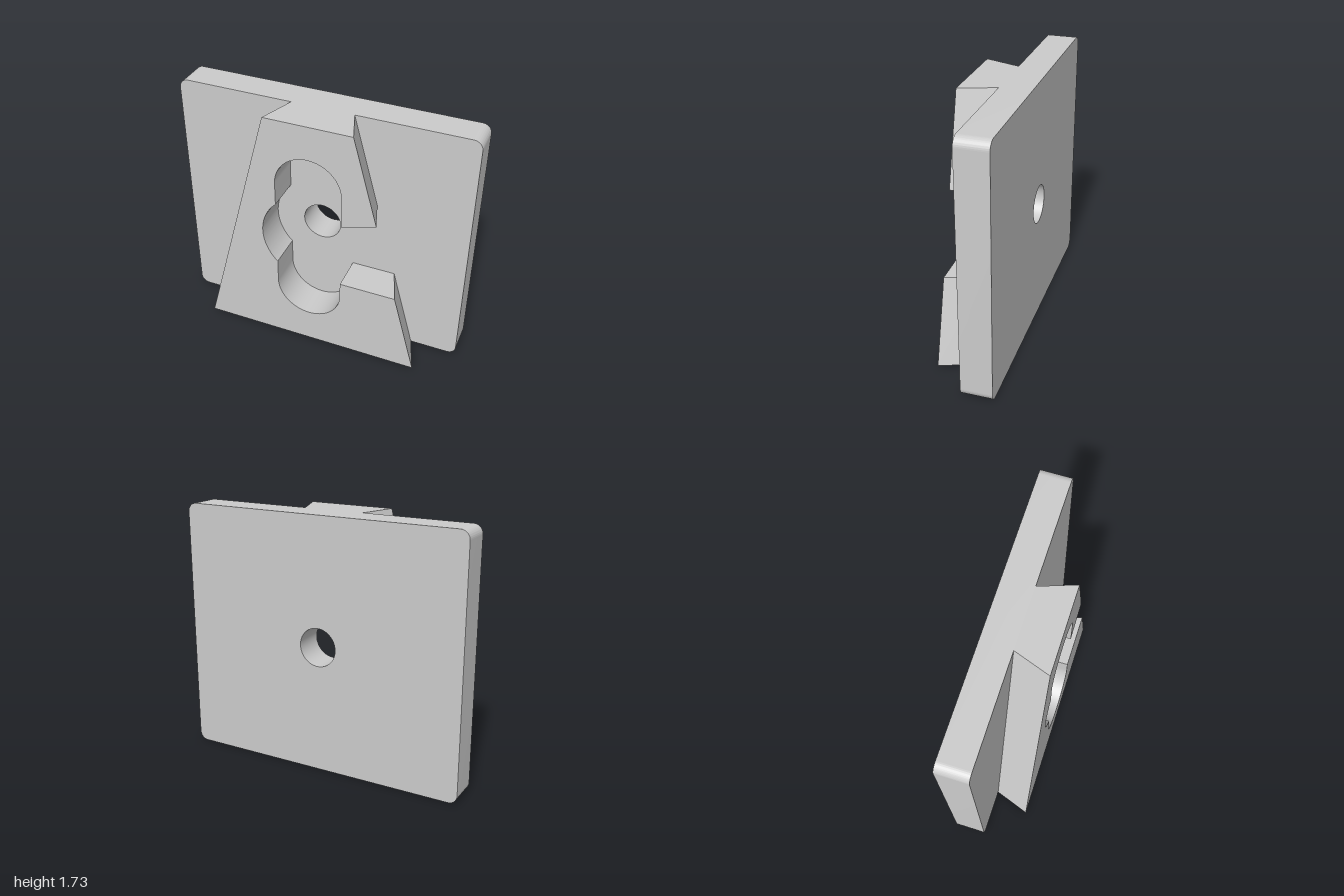
import * as THREE from 'three';
import { toCreasedNormals } from 'three/addons/utils/BufferGeometryUtils.js';

const H = 1.73, CY = 0.868;        // overall height, centre of the bore
const BACK = -0.225, SEAM = -0.016, FRONT = 0.225;
const SLOPE = (0.765 - 0.295) / H; // taper of the dovetail
const edgeX = (y) => 0.765 - SLOPE * y;
const UNDERCUT = 0.085;

function extrude(shape, z0, z1) {
  const geo = new THREE.ExtrudeGeometry(shape, { depth: z1 - z0, bevelEnabled: false, curveSegments: 32 });
  return geo.translate(0, 0, z0);
}

function addMesh(group, name, geo) {
  const material = new THREE.MeshStandardMaterial({ color: 0xcccccc });
  const mesh = new THREE.Mesh(toCreasedNormals(geo, 0.5), material);
  mesh.name = name;
  group.add(mesh);
}

// Rounded plate with a round through hole
function plateGeometry() {
  const r = 0.06, s = new THREE.Shape();
  s.absarc(1 - r, r, r, -Math.PI / 2, 0, false);
  s.absarc(1 - r, H - r, r, 0, Math.PI / 2, false);
  s.absarc(-1 + r, H - r, r, Math.PI / 2, Math.PI, false);
  s.absarc(-1 + r, r, r, Math.PI, Math.PI * 1.5, false);
  s.closePath();
  const hole = new THREE.Path();
  hole.absarc(0, CY, 0.13, 0, Math.PI * 2, true);
  s.holes.push(hole);
  return extrude(s, BACK, SEAM);
}

// Tapered C-shaped dovetail, open on its left side
function dovetailGeometry() {
  const w = 0.226, R = 0.327, a = Math.acos(w / R), tipY = 1.125;
  const s = new THREE.Shape();
  s.moveTo(-edgeX(0), 0);
  s.lineTo(edgeX(0), 0);
  s.lineTo(edgeX(0.578), 0.578);
  s.lineTo(w, 0.578);
  s.absarc(0, 0.467, w, 0, -Math.PI, true);              // lower slot end
  s.absarc(0, CY, R, Math.PI + a, Math.PI - a, true);    // round side recess
  s.absarc(0, 1.27, w, Math.PI, 0, true);                // upper slot end
  s.lineTo(w, 1.055);
  s.lineTo(edgeX(tipY), tipY);
  s.lineTo(edgeX(H), H);
  s.lineTo(-edgeX(H), H);
  s.closePath();
  const geo = extrude(s, SEAM, FRONT);

  // Undercut: draw the rear corners of the slanted flanks inward
  const p = geo.attributes.position;
  for (let i = 0; i < p.count; i++) {
    const x = p.getX(i), y = p.getY(i);
    if (p.getZ(i) > 0 || Math.abs(Math.abs(x) - edgeX(y)) > 1e-4) continue;
    const isTip = Math.abs(y - tipY) < 1e-4;             // slides along its slanted end
    p.setX(i, x - Math.sign(x) * (isTip ? 0.078 : UNDERCUT));
    if (isTip) p.setY(i, y - 0.0235);
  }
  return geo;
}

export function createModel() {
  const group = new THREE.Group();
  group.name = 'dovetailPlate';
  addMesh(group, 'basePlate', plateGeometry());
  addMesh(group, 'dovetailClip', dovetailGeometry());
  return group;
}
